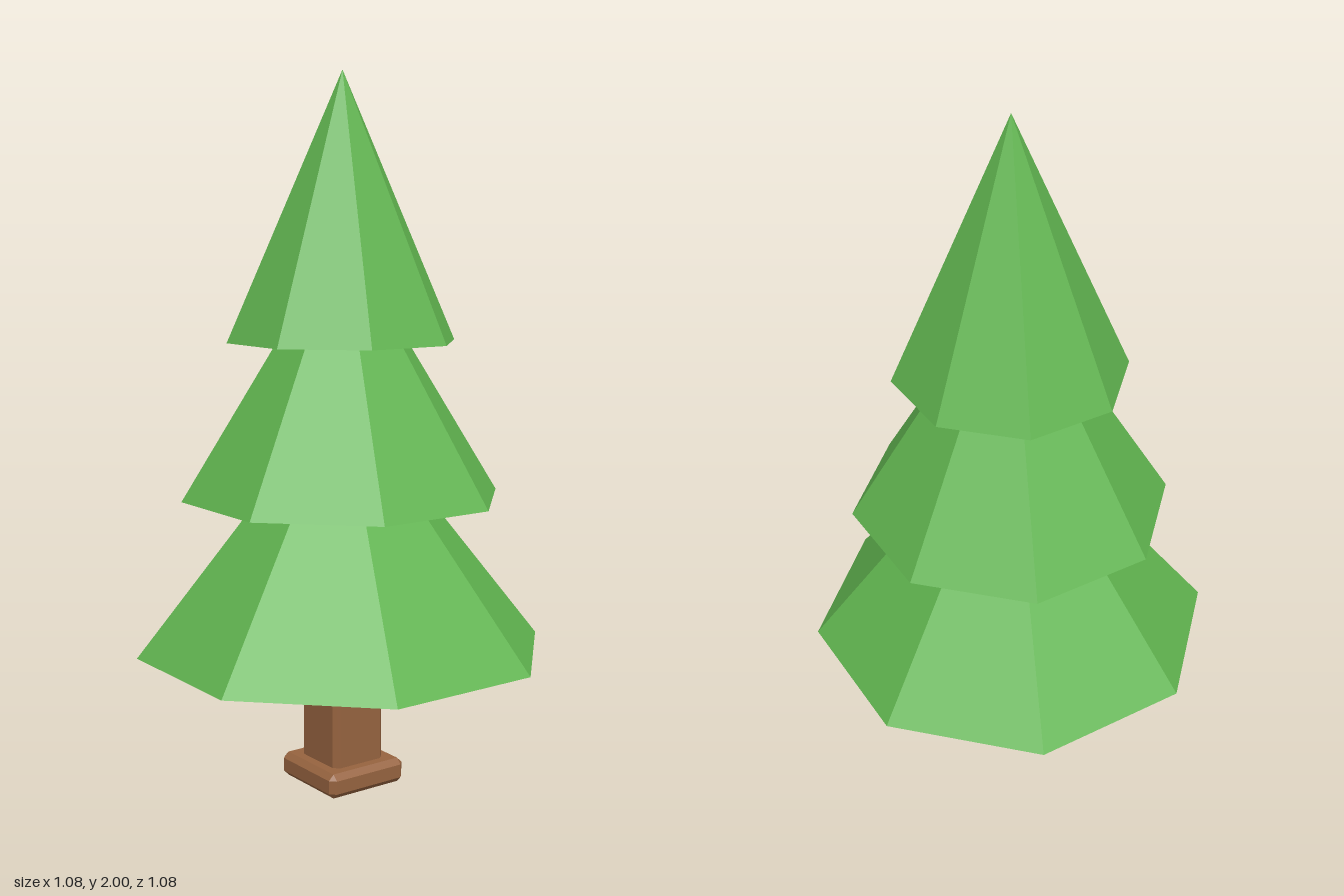
import * as THREE from 'three';
import { ConvexGeometry } from 'three/addons/geometries/ConvexGeometry.js';

// Box with every edge and corner cut off by c
function chamferedBox(w, h, d, c) {
  const points = [];
  for (const sx of [-1, 1]) for (const sy of [-1, 1]) for (const sz of [-1, 1]) {
    const x = w / 2, y = h / 2, z = d / 2;
    points.push(
      new THREE.Vector3(sx * x, sy * (y - c), sz * (z - c)),
      new THREE.Vector3(sx * (x - c), sy * y, sz * (z - c)),
      new THREE.Vector3(sx * (x - c), sy * (y - c), sz * z),
    );
  }
  return new ConvexGeometry(points);
}

export function createModel() {
  const tree = new THREE.Group();
  tree.name = 'pineTree';

  const foliage = new THREE.MeshStandardMaterial({ color: 0x61b550 });
  foliage.name = 'leaf green';
  foliage.flatShading = true;
  const bark = new THREE.MeshStandardMaterial({ color: 0x96633f });
  bark.name = 'bark brown';
  bark.flatShading = true;

  const add = (name, geometry, material, y) => {
    const mesh = new THREE.Mesh(geometry, material);
    mesh.name = name;
    mesh.position.y = y;
    tree.add(mesh);
  };

  // Square trunk standing on a wider foot
  add('trunkFoot', chamferedBox(0.256, 0.07, 0.256, 0.016), bark, 0.035);
  add('trunk', chamferedBox(0.172, 0.41, 0.172, 0.016), bark, 0.255);

  // Three overlapping eight-sided cones, flat side to the front
  const height = 0.735;
  const tiers = [
    ['lowerFoliage', 0.54, 0.397],
    ['middleFoliage', 0.42, 0.831],
    ['upperFoliage', 0.30, 1.265],
  ];
  for (const [name, apothem, bottom] of tiers) {
    const cone = new THREE.ConeGeometry(apothem / Math.cos(Math.PI / 8), height, 8);
    cone.rotateY(Math.PI / 8);
    add(name, cone, foliage, bottom + height / 2);
  }
  return tree;
}
